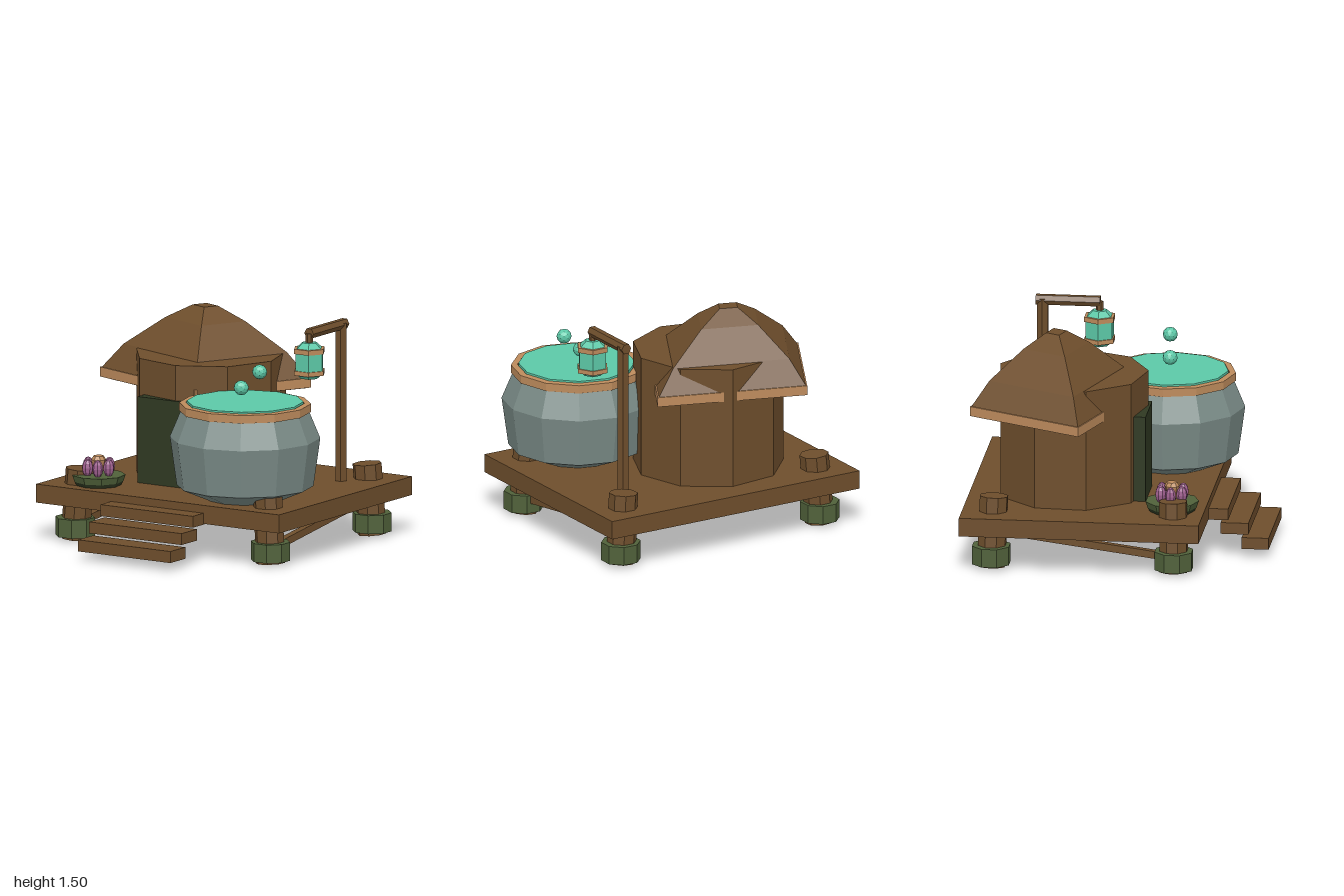
import * as THREE from 'three';

const paint = (name, color) => {
  const m = new THREE.MeshStandardMaterial({ color, flatShading: true });
  m.name = name;
  return m;
};

export function createModel() {
  const wood = paint('brown wood', 0x6e4e2c);
  const trim = paint('light wood trim', 0xbd8b5c);
  const stone = paint('grey stone', 0x7a8b87);
  const glow = paint('teal liquid', 0x5cc8a7);
  const moss = paint('moss green', 0x50613a);
  const dark = paint('dark green door', 0x2f3922);
  const pink = paint('purple petal', 0xa06090);

  const root = new THREE.Group();
  const add = (name, geo, mat, x = 0, y = 0, z = 0) => {
    const m = new THREE.Mesh(geo, mat);
    m.name = name;
    m.position.set(x, y, z);
    root.add(m);
    return m;
  };
  // box given by its limits
  const box = (name, mat, x0, x1, y0, y1, z0, z1) =>
    add(name, new THREE.BoxGeometry(x1 - x0, y1 - y0, z1 - z0), mat, (x0 + x1) / 2, (y0 + y1) / 2, (z0 + z1) / 2);
  // upright prism between two heights
  const prism = (name, mat, x, z, y0, y1, rBottom, rTop, sides, turn = 0) =>
    add(name, new THREE.CylinderGeometry(rTop, rBottom, y1 - y0, sides, 1, false, turn), mat, x, (y0 + y1) / 2, z);
  // round beam from a to b
  const beam = (name, mat, a, b, r, sides) => {
    const p = new THREE.Vector3(...a), q = new THREE.Vector3(...b);
    const d = q.clone().sub(p);
    const m = add(name, new THREE.CylinderGeometry(r, r, d.length(), sides, 1, false, Math.PI / sides), mat);
    m.position.copy(p).add(q).multiplyScalar(0.5);
    m.quaternion.setFromUnitVectors(new THREE.Vector3(0, 1, 0), d.normalize());
    return m;
  };
  const lathe = (name, mat, pts, sides, x, z) =>
    add(name, new THREE.LatheGeometry(pts.map(p => new THREE.Vector2(...p)), sides), mat, x, 0, z);

  // deck and steps
  box('deck', wood, -0.96, 0.975, 0.26, 0.385, -1, 0.6);
  box('upperStep', wood, -0.36, 0.375, 0.255, 0.332, 0.55, 0.73);
  box('middleStep', wood, -0.36, 0.375, 0.16, 0.237, 0.68, 0.865);
  box('lowerStep', wood, -0.36, 0.375, 0.06, 0.138, 0.82, 1);

  // leaning stilts with mossy cuffs, and a brace on each side
  for (const [bx, tx] of [[-0.77, -0.735], [0.785, 0.755]]) {
    for (const [bz, tz] of [[0.415, 0.405], [-0.805, -0.79]]) {
      beam('stilt', wood, [bx, 0.01, bz], [tx, 0.485, tz], 0.098, 8);
      prism('stiltCuff', moss, bx, bz, 0.03, 0.155, 0.133, 0.133, 8, Math.PI / 8);
    }
    beam('brace', wood, [bx, 0.11, 0.4], [tx, 0.255, -0.8], 0.035, 4);
  }

  // hut walls and door
  prism('hutWall', wood, -0.193, -0.33, 0.385, 1.205, 0.507, 0.507, 9, THREE.MathUtils.degToRad(7));
  box('door', dark, -0.425, -0.04, 0.385, 0.967, 0.08, 0.186);

  // four-cornered roof, built as scaled copies of one outline
  const corners = [[0.4, -0.65], [-0.57, -0.97], [-0.98, -0.2], [-0.01, 0.12]];
  const cx = -0.29, cz = -0.425;
  const stack = (levels) => {
    const rings = levels.map(([s, y]) => corners.map(([x, z]) => [cx + (x - cx) * s, y, cz + (z - cz) * s]));
    const v = [];
    const quad = (a, b, c, d) => v.push(...a, ...b, ...c, ...a, ...c, ...d);
    for (let k = 0; k + 1 < rings.length; k++)
      for (let i = 0; i < 4; i++) {
        const j = (i + 1) % 4;
        quad(rings[k][i], rings[k][j], rings[k + 1][j], rings[k + 1][i]);
      }
    const [a, b, c, d] = rings[0];
    quad(d, c, b, a);
    quad(...rings[rings.length - 1]);
    const g = new THREE.BufferGeometry();
    g.setAttribute('position', new THREE.Float32BufferAttribute(v, 3));
    g.computeVertexNormals();
    return g;
  };
  add('roof', stack([[0.988, 1.04], [0.775, 1.21], [0.38, 1.405], [0.12, 1.5]]), wood);
  add('roofEave', stack([[1, 0.98], [1, 1.045]]), trim);
  add('roofUnderside', stack([[0.98, 0.977], [0.98, 1.0]]), wood);

  // cauldron
  const px = 0.472, pz = 0.248;
  lathe('cauldron', stone, [[0, 0.386], [0.25, 0.386], [0.455, 0.475], [0.5, 0.8], [0.425, 0.98], [0, 0.98]], 12, px, pz);
  lathe('cauldronRim', trim, [[0.385, 0.975], [0.438, 0.975], [0.438, 1.03], [0.395, 1.033], [0.395, 0.975]], 12, px, pz);
  prism('liquid', glow, px, pz, 0.985, 1.043, 0.388, 0.388, 12);
  for (const [x, y, z] of [[0.443, 1.13, 0.25], [0.58, 1.25, 0.235]])
    add('bubble', new THREE.IcosahedronGeometry(0.05, 1), glow, x, y, z);

  // lamp post and lantern
  const lx = 0.657, lz = -0.245;
  prism('lampPost', wood, lx, -0.625, 0.385, 1.45, 0.042, 0.042, 6, Math.PI / 6);
  beam('lampArm', wood, [lx, 1.44, -0.67], [lx, 1.44, -0.24], 0.037, 6);
  prism('lampHook', wood, lx, lz, 1.37, 1.44, 0.025, 0.025, 6);
  const hex = Math.PI / 6;
  prism('lanternGlass', glow, lx, lz, 1.165, 1.34, 0.102, 0.102, 6, hex);
  prism('lanternTop', glow, lx, lz, 1.34, 1.38, 0.095, 0.05, 6, hex);
  prism('lanternBase', glow, lx, lz, 1.138, 1.165, 0.06, 0.09, 6, hex);
  prism('lanternUpperBand', trim, lx, lz, 1.31, 1.343, 0.112, 0.112, 6, hex);
  prism('lanternLowerBand', trim, lx, lz, 1.165, 1.195, 0.112, 0.112, 6, hex);

  // flower on its leaf pad
  const fx = -0.605, fz = 0.383;
  prism('leafPad', moss, fx, fz, 0.41, 0.455, 0.165, 0.18, 9);
  prism('padStem', dark, fx, fz, 0.385, 0.41, 0.15, 0.165, 9);
  for (let i = 0; i < 6; i++) {
    const a = (i * Math.PI) / 3;
    const petal = add('petal', new THREE.SphereGeometry(1, 8, 6), pink, fx + Math.cos(a) * 0.082, 0.505, fz + Math.sin(a) * 0.082);
    petal.scale.set(0.038, 0.06, 0.036);
    petal.rotation.y = -a;
  }
  lathe('flowerHeart', trim, [[0, 0.46], [0.03, 0.47], [0.05, 0.555], [0.035, 0.58], [0, 0.582]], 8, fx, fz);

  return root;
}
